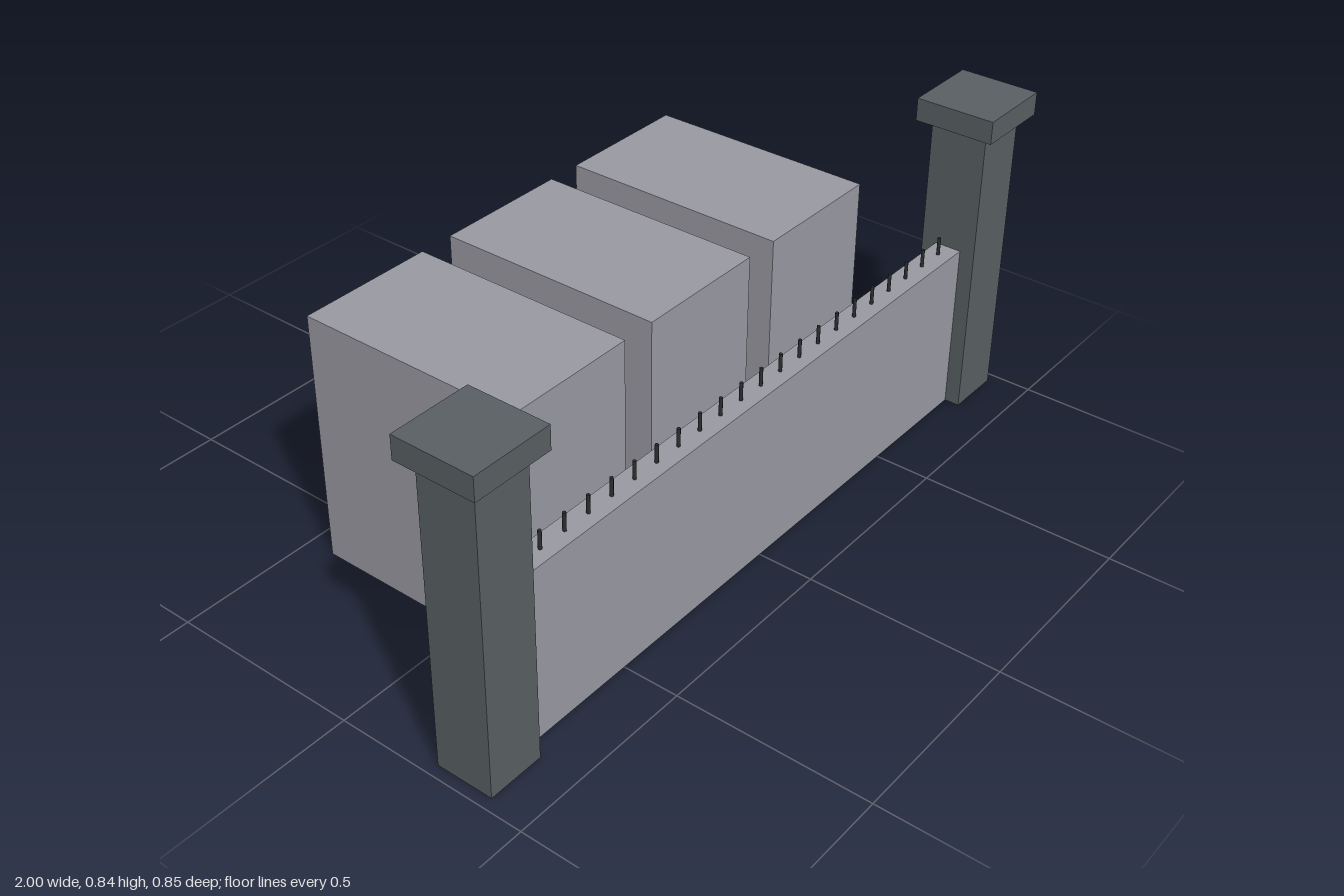
import * as THREE from 'three';

export function createModel() {
  const model = new THREE.Group();
  const paint = (name, color) => new THREE.MeshStandardMaterial({ name, color });
  const paleGrey = paint('pale grey', 0x9a9aa3);
  const slate = paint('dark slate', 0x596063);
  const iron = paint('dark iron', 0x2b2d30);

  // Box standing with its base at height y
  function block(name, material, [w, h, d], [x, y, z], parent = model) {
    const mesh = new THREE.Mesh(new THREE.BoxGeometry(w, h, d), material);
    mesh.name = name;
    mesh.position.set(x, y + h / 2, z);
    parent.add(mesh);
  }

  const wallZ = 0.32;

  // Gate posts with overhanging caps
  for (const side of [-1, 1]) {
    const post = new THREE.Group();
    post.name = side > 0 ? 'leftPost' : 'rightPost';
    block('postShaft', slate, [0.149, 0.778, 0.149], [side * 0.896, 0, wallZ], post);
    block('postCap', slate, [0.208, 0.059, 0.208], [side * 0.896, 0.778, wallZ], post);
    model.add(post);
  }

  // Wall between the posts
  block('wall', paleGrey, [1.643, 0.448, 0.07], [0, 0, wallZ]);

  // Row of spikes along the wall top
  const spikes = new THREE.Group();
  spikes.name = 'spikes';
  const spikeGeometry = new THREE.CylinderGeometry(0.0045, 0.0045, 0.047, 8);
  for (let i = 0; i < 22; i++) {
    const spike = new THREE.Mesh(spikeGeometry, iron);
    spike.name = 'spike';
    spike.position.set(-0.794 + i * 0.0747, 0.4715, wallZ);
    spikes.add(spike);
  }
  model.add(spikes);

  // Three storage blocks behind the wall
  for (const x of [-0.448, 0, 0.448]) {
    block('storageBlock', paleGrey, [0.357, 0.657, 0.597], [x, 0, -0.1265]);
  }

  return model;
}
